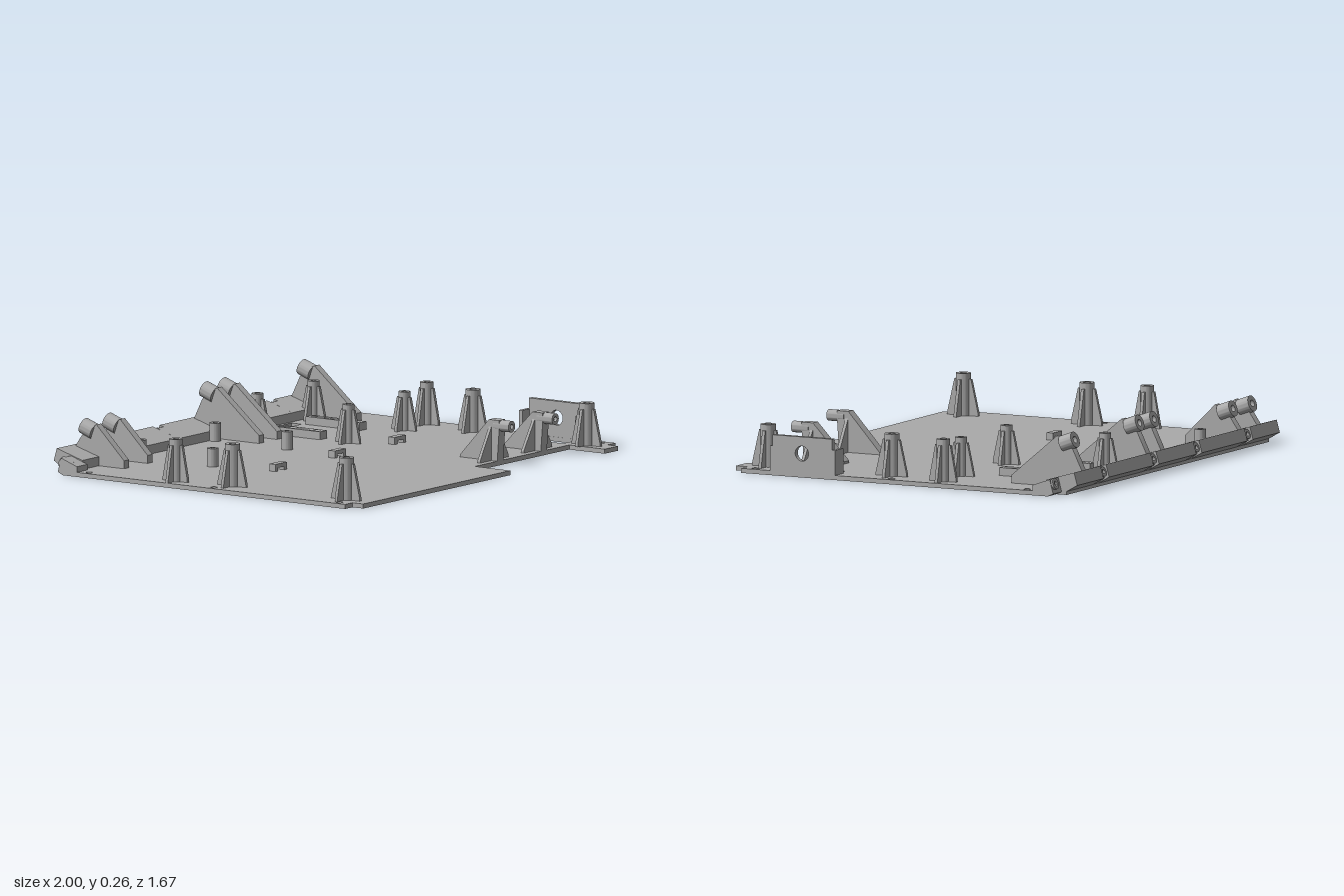
import * as THREE from 'three';
import { toCreasedNormals } from 'three/addons/utils/BufferGeometryUtils.js';

const grey = new THREE.MeshStandardMaterial({ color: 0xaaaaaa });
grey.name = 'light grey plastic';

const T = 0.02; // floor thickness
const TILT = 0.35; // lean of the rear panel

const poly = pts => new THREE.Shape(pts.map(p => new THREE.Vector2(p[0], p[1])));
function circle(x, y, r) {
  const p = new THREE.Path();
  p.absarc(x, y, r, 0, Math.PI * 2, true);
  return p;
}
function extrude(shape, depth) {
  const g = new THREE.ExtrudeGeometry(shape, { depth, bevelEnabled: false, curveSegments: 20 });
  return toCreasedNormals(g, 0.5);
}
// plan outline in (x, z), raised along y
function flat(pts, holes, height) {
  const s = poly(pts.map(([x, z]) => [x, -z]));
  s.holes = holes;
  return extrude(s, height).rotateX(-Math.PI / 2);
}
// side profile in (z, y), swept along x and centred on it
function side(pts, width, holes = []) {
  const s = poly(pts.map(([z, y]) => [-z, y]));
  s.holes = holes;
  return extrude(s, width).translate(0, 0, -width / 2).rotateY(Math.PI / 2);
}
// hollow tube along z, starting at z = 0
function tube(r, bore, length) {
  const s = new THREE.Shape();
  s.absarc(0, 0, r, 0, Math.PI * 2, false);
  s.holes.push(circle(0, 0, bore));
  return extrude(s, length);
}
const rect = (x0, z0, x1, z1) => [[x0, z0], [x1, z0], [x1, z1], [x0, z1]];

function add(parent, name, geo, x = 0, y = 0, z = 0) {
  const m = new THREE.Mesh(geo, grey);
  m.name = name;
  m.position.set(x, y, z);
  parent.add(m);
  return m;
}
function box(parent, name, w, h, d, x, y, z) {
  return add(parent, name, new THREE.BoxGeometry(w, h, d), x, y + h / 2, z);
}

// screw post with four tapering fins
function ribbedPost(parent, x, z, r, h, reach) {
  const g = new THREE.Group();
  g.name = 'ribbedPost';
  g.position.set(x, T, z);
  parent.add(g);
  add(g, 'postTube', tube(r, r * 0.45, h).rotateX(-Math.PI / 2));
  const top = h * 0.86, b = r * 0.8;
  for (let i = 0; i < 4; i++) {
    const fin = side([[b, 0], [reach, 0], [reach, 0.012], [r + 0.008, top], [b, top]], 0.014);
    add(g, 'postFin', fin).rotation.y = i * Math.PI / 2;
  }
}

// gusset on the rear panel carrying a leaning screw boss
function rearGusset(parent, x, front, headY, headZ) {
  const g = new THREE.Group();
  g.name = 'rearGusset';
  g.position.x = x;
  parent.add(g);
  add(g, 'gussetWeb', side([[front, T], [front, 0.055], [headZ + 0.05, headY + 0.025],
    [headZ + 0.01, headY + 0.005], [headZ - 0.028, headY - 0.03], [-0.828, 0.07], [-0.7, T]], 0.036));
  add(g, 'gussetBoss', tube(0.036, 0.015, 0.064).translate(0, 0, -0.032).rotateX(TILT), 0, headY, headZ);
}

// front gusset with a screw boss that overhangs the floor edge
function frontGusset(parent, x, h) {
  const g = new THREE.Group();
  g.name = 'frontGusset';
  g.position.x = x;
  parent.add(g);
  add(g, 'gussetWeb', side([[0.445, T], [0.445, 0.03], [0.6, h], [0.655, h], [0.655, h - 0.045], [0.645, T]], 0.045));
  add(g, 'gussetBoss', tube(0.025, 0.011, 0.085), 0, h - 0.025, 0.622);
  const fin = extrude(poly([[-0.105, T], [0.105, T], [0.105, 0.03], [0.022, h - 0.03], [-0.022, h - 0.03], [-0.105, 0.03]]), 0.014);
  add(g, 'crossFin', fin, 0, 0, 0.6);
}

// strip with a row of sockets
function socketStrip(parent, x) {
  const holes = [];
  for (let i = 0; i < 8; i++) holes.push(circle(0, 0.34 + i * 0.033, 0.0125));
  add(parent, 'socketStrip', flat(rect(-0.025, -0.6, 0.025, -0.31), holes, 0.035), x, T, 0);
}

export function createModel() {
  const model = new THREE.Group();
  model.name = 'mountingTray';

  // floor with screw holes, cable slot and side window
  const holes = [];
  for (const x of [-0.968, 0.968]) for (const z of [-0.617, 0.052, 0.725]) holes.push(circle(x, -z, 0.015));
  holes.push(poly(rect(0.38, -0.67, 0.6, -0.617).map(([x, z]) => [x, -z])));
  holes.push(poly(rect(0.855, 0.34, 0.975, 0.6).map(([x, z]) => [x, -z])));
  add(model, 'floor', flat([
    [-1, -0.665], [-1, 0.778], [-0.945, 0.778], [-0.945, 0.835], [0.143, 0.835], [0.143, 0.645],
    [0.84, 0.645], [0.84, 0.835], [0.94, 0.835], [0.94, 0.778], [1, 0.778], [1, -0.665],
    [0.92, -0.665], [0.92, -0.785], [-0.925, -0.785], [-0.925, -0.665],
  ], holes, T));

  // leaning rear panel, split at the screw notches
  const panel = [[-0.685, T], [-0.685, 0.06], [-0.822, 0.1], [-0.838, 0.045], [-0.78, 0.012]];
  const notched = [[-0.685, T], [-0.685, 0.06], [-0.8, 0.094], [-0.815, 0.04], [-0.78, 0.012]];
  const notches = [-0.655, -0.19, 0.2, 0.655];
  let start = -0.925;
  for (const n of [...notches, 0.945]) {
    const end = n - 0.025;
    add(model, 'rearPanel', side(panel, end - start), (start + end) / 2);
    start = n + 0.025;
  }
  for (const n of notches) {
    add(model, 'rearNotch', side(notched, 0.05), n);
    add(model, 'rearScrewRing', tube(0.022, 0.01, 0.02).rotateX(TILT), n, 0.072, -0.825);
  }

  // stepped ends of the rear panel
  for (const s of [-1, 1]) {
    add(model, 'panelEnd', side([[-0.66, 0], [-0.66, 0.045], [-0.745, 0.075], [-0.762, 0.012], [-0.735, 0]], 0.078), s * 0.961);
    add(model, 'panelEndBoss', tube(0.025, 0.011, 0.06).rotateX(TILT), s * 0.972, 0.055, -0.76);
  }

  // rear gussets: three tall, two short
  for (const x of [0.098, 0.23, 0.818]) rearGusset(model, x, -0.467, 0.218, -0.742);
  for (const x of [-0.785, -0.61]) rearGusset(model, x, -0.55, 0.175, -0.748);

  // front gussets
  frontGusset(model, 0.33, 0.2);
  frontGusset(model, 0.652, 0.19);

  // ribbed screw posts
  for (const x of [-0.89, 0.887]) for (const z of [0.095, 0.705]) ribbedPost(model, x, z, 0.033, 0.186, 0.076);
  for (const x of [-0.93, 0.925]) ribbedPost(model, x, -0.18, 0.029, 0.186, 0.066);
  for (const x of [0.328, 0.742]) for (const z of [-0.655, -0.168]) ribbedPost(model, x, z, 0.026, 0.17, 0.064);

  // short plain standoffs
  for (const x of [-0.52, 0.03]) for (const z of [-0.665, -0.28]) {
    add(model, 'standoff', tube(0.025, 0.011, 0.08).rotateX(-Math.PI / 2), x, T, z);
  }

  // cable bridges
  for (const x of [-0.438, 0, 0.442]) {
    const arch = poly([[-0.042, 0], [-0.022, 0], [-0.022, 0.015], [0.022, 0.015], [0.022, 0],
      [0.042, 0], [0.042, 0.032], [-0.042, 0.032]]);
    add(model, 'cableBridge', extrude(arch, 0.033), x, T, -0.005);
  }

  socketStrip(model, 0.34);
  socketStrip(model, 0.633);

  // side wall with a round opening and two flanges
  add(model, 'sideWall', side([[0.315, 0], [0.315, 0.13], [0.33, 0.13], [0.33, 0.178], [0.622, 0.178],
    [0.622, 0.13], [0.635, 0.13], [0.635, 0]], 0.024, [circle(-0.478, 0.105, 0.033)]), 0.988);
  for (const z of [0.323, 0.623]) box(model, 'wallFlange', 0.07, 0.12, 0.018, 0.96, 0.01, z);

  return model;
}
